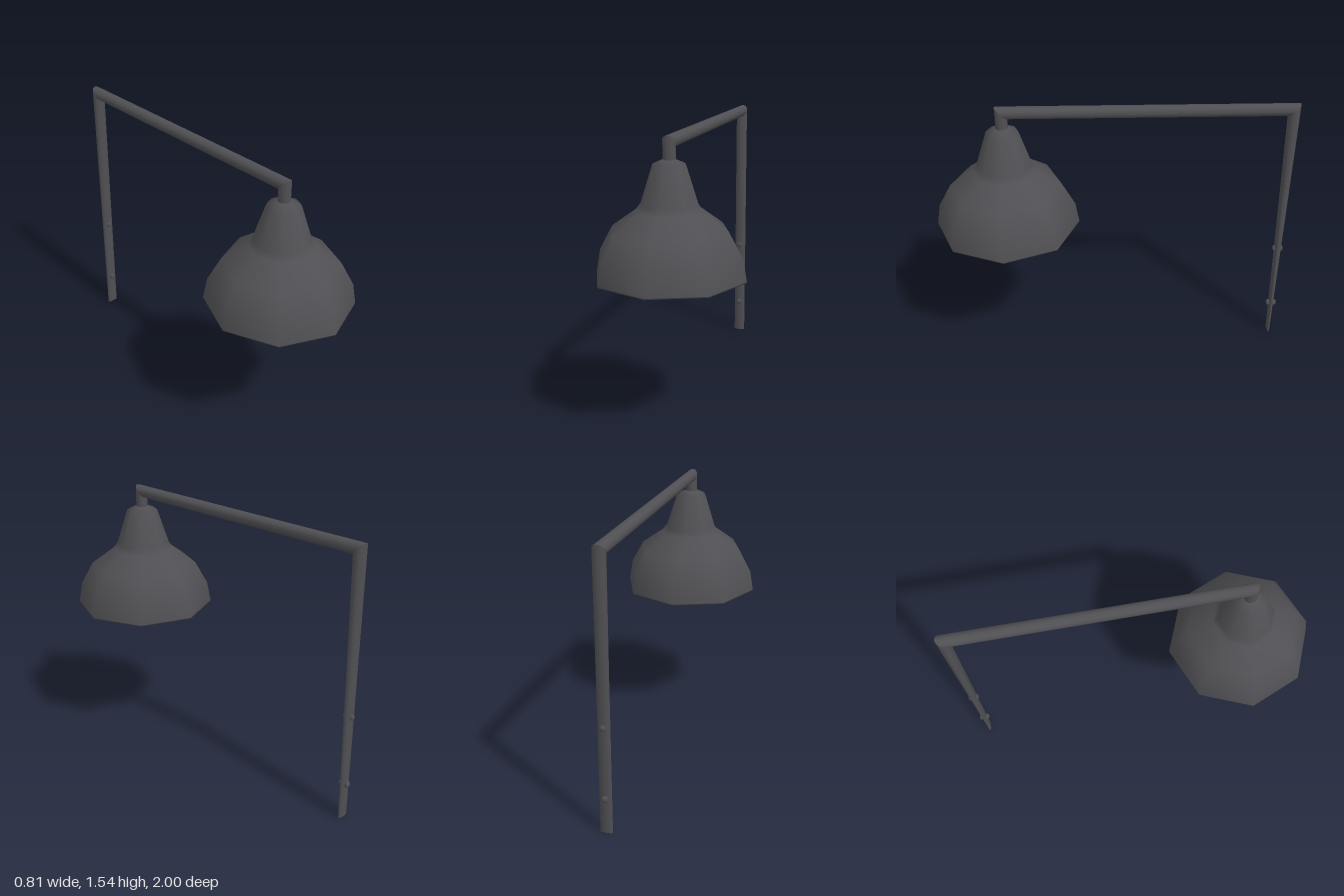
import * as THREE from 'three';

const TOP = 1.511, R = 0.034, FRONT = 0.597, BACK = -0.966;

// Smooth tube section between two rings; each ring maps (across, outward) to a point.
function section(name, material, ringA, ringB, sides = 12) {
  const pos = [], index = [];
  for (let i = 0; i <= sides; i++) {
    const t = (i / sides) * Math.PI * 2;
    const a = Math.cos(t) * R, b = Math.sin(t) * R;
    pos.push(...ringA(a, b), ...ringB(a, b));
    if (i < sides) {
      const k = i * 2;
      index.push(k, k + 2, k + 1, k + 1, k + 2, k + 3);
    }
  }
  const geo = new THREE.BufferGeometry();
  geo.setAttribute('position', new THREE.Float32BufferAttribute(pos, 3));
  geo.setIndex(index);
  geo.computeVertexNormals();
  // Match normals across the seam
  const n = geo.attributes.normal;
  for (const j of [0, 1]) {
    const e = sides * 2 + j;
    const v = new THREE.Vector3(n.getX(j) + n.getX(e), n.getY(j) + n.getY(e), n.getZ(j) + n.getZ(e)).normalize();
    n.setXYZ(j, v.x, v.y, v.z);
    n.setXYZ(e, v.x, v.y, v.z);
  }
  const mesh = new THREE.Mesh(geo, material);
  mesh.name = name;
  return mesh;
}

export function createModel() {
  const group = new THREE.Group();
  group.name = 'wallLamp';
  const metal = new THREE.MeshStandardMaterial({ color: 0x505054 });
  metal.name = 'darkMetal';

  const add = (name, geo, x, y, z) => {
    const mesh = new THREE.Mesh(geo, metal);
    mesh.name = name;
    mesh.position.set(x, y, z);
    group.add(mesh);
    return mesh;
  };
  const lathe = pts => new THREE.LatheGeometry(pts.map(p => new THREE.Vector2(...p)), 8);

  // Bent pipe with mitred corners; the wall post flattens to a blade at its foot
  const stemEnd = (a, b) => [a, 1.4, FRONT + b];
  const frontCorner = (a, b) => [a, TOP + b, FRONT + b];
  const backCorner = (a, b) => [a, TOP + b, BACK - b];
  const foot = (a, b) => [a, 0, BACK - b * 0.28];
  group.add(section('stem', metal, frontCorner, stemEnd));
  group.add(section('arm', metal, backCorner, frontCorner));
  group.add(section('wallPost', metal, foot, backCorner));
  const cap = add('postFoot', new THREE.CircleGeometry(R, 12), 0, 0, BACK);
  cap.rotation.x = Math.PI / 2;
  cap.scale.y = 0.28;

  // Eight-sided bell shade with a rounded rim and a shallow conical reflector below
  const outer = [[0.403, 0.822], [0.382, 0.94], [0.31, 1.07], [0.178, 1.165],
    [0.153, 1.2], [0.088, 1.4], [0.03, 1.425], [0, 1.425]];
  const rim = [[0.385, 0.822], [0.389, 0.815], [0.4, 0.815], [0.403, 0.822]];
  add('shadeOuter', lathe(outer), 0, 0, FRONT);
  add('shadeRim', lathe(rim), 0, 0, FRONT);
  add('reflector', lathe([[0, 0.93], [0.385, 0.822]]), 0, 0, FRONT);

  // Small bulb at the centre of the reflector
  add('bulb', new THREE.SphereGeometry(0.04, 8, 4), 0, 0.89, FRONT);

  // Bolts through the post
  for (const y of [0.61, 0.205]) {
    const bolt = add('bolt', lathe([[0, -0.03], [0.013, -0.028], [0.018, -0.022],
      [0.018, 0.022], [0.013, 0.028], [0, 0.03]]), 0, y, BACK);
    bolt.rotation.x = Math.PI / 2;
  }
  return group;
}
